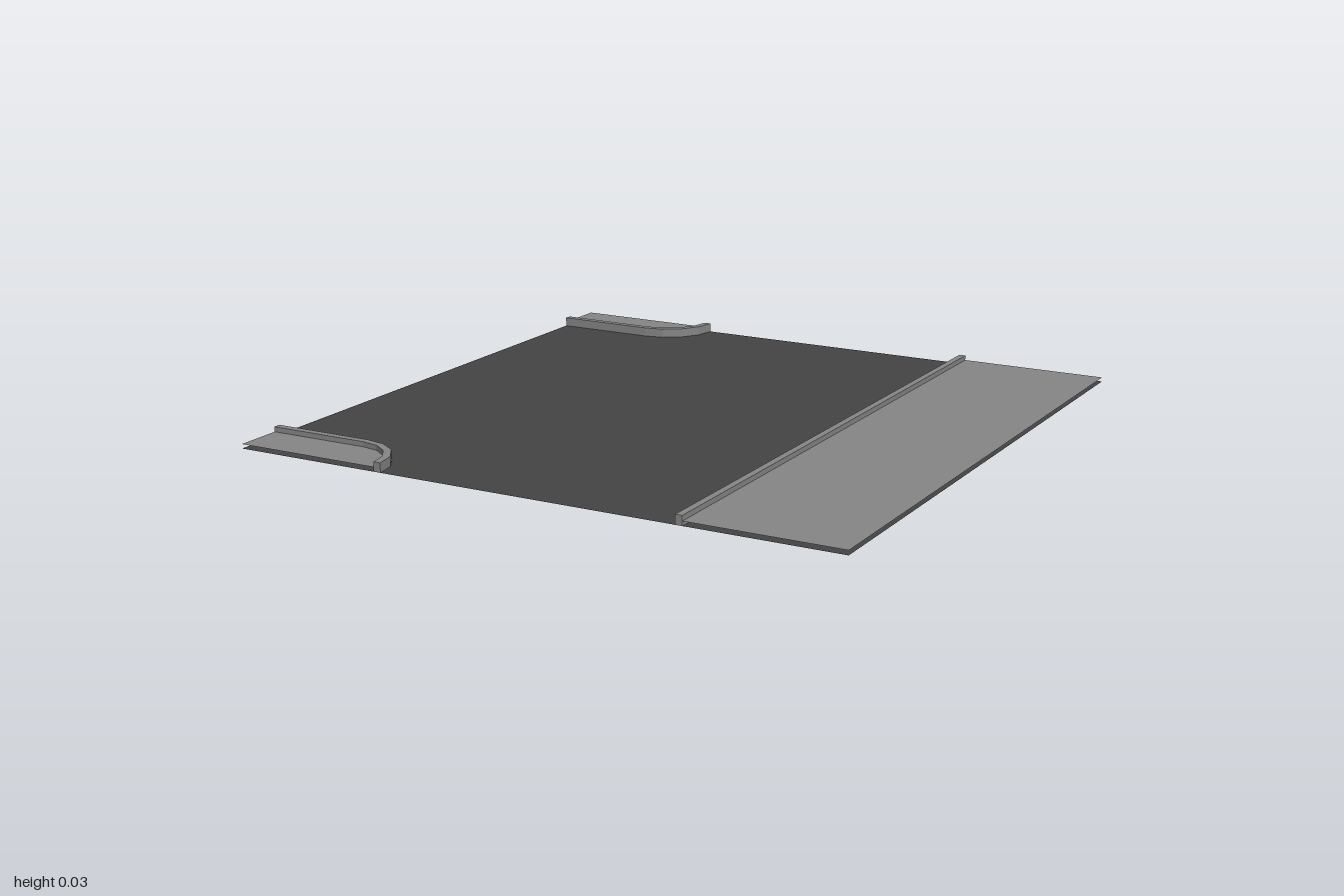
import * as THREE from 'three';

const KERB_TOP = 0.03, WALK_Y = 0.014;
const OUTER = 0.176, INNER = 0.152, CORNER_X = -0.664;

// Rounded corner outline (straight run, then quarter arc in four steps); s = +1 back, -1 front
function cornerLine(r, s) {
  const pts = [new THREE.Vector2(-1, s * (1 - r))];
  for (let i = 0; i <= 4; i++) {
    const a = (i / 4) * Math.PI / 2;
    pts.push(new THREE.Vector2(CORNER_X + r * Math.sin(a), s * (1 - r * Math.cos(a))));
  }
  return pts;
}

export function createModel() {
  const group = new THREE.Group();
  const asphalt = new THREE.MeshStandardMaterial({ color: 0x444444, side: THREE.DoubleSide });
  asphalt.name = 'asphalt';
  const concrete = new THREE.MeshStandardMaterial({ color: 0x868686, side: THREE.DoubleSide });
  concrete.name = 'concrete';

  function add(name, geometry, material, x = 0, y = 0, z = 0) {
    const mesh = new THREE.Mesh(geometry, material);
    mesh.name = name;
    mesh.position.set(x, y, z);
    group.add(mesh);
  }

  // Road sheet
  add('road', new THREE.PlaneGeometry(2, 2).rotateX(-Math.PI / 2), asphalt);

  // Straight pavement and its kerb
  add('straightPavement', new THREE.PlaneGeometry(0.5, 2).rotateX(-Math.PI / 2), concrete, 0.75, WALK_Y, 0);
  add('straightKerb', new THREE.BoxGeometry(0.022, KERB_TOP, 2), concrete, 0.499, KERB_TOP / 2, 0);

  // Rounded corner pavements and kerbs, mirrored front to back
  for (const [side, s] of [['back', 1], ['front', -1]]) {
    const inner = cornerLine(INNER, s);
    const kerb = new THREE.Shape([...cornerLine(OUTER, s), ...inner.slice().reverse()]);
    const kerbGeometry = new THREE.ExtrudeGeometry(kerb, { depth: KERB_TOP, bevelEnabled: false });
    add(side + 'CornerKerb', kerbGeometry.rotateX(-Math.PI / 2), concrete);

    const walk = new THREE.Shape([...inner, new THREE.Vector2(-1, s)]);
    add(side + 'CornerPavement', new THREE.ShapeGeometry(walk).rotateX(-Math.PI / 2), concrete, 0, WALK_Y, 0);
  }
  return group;
}
